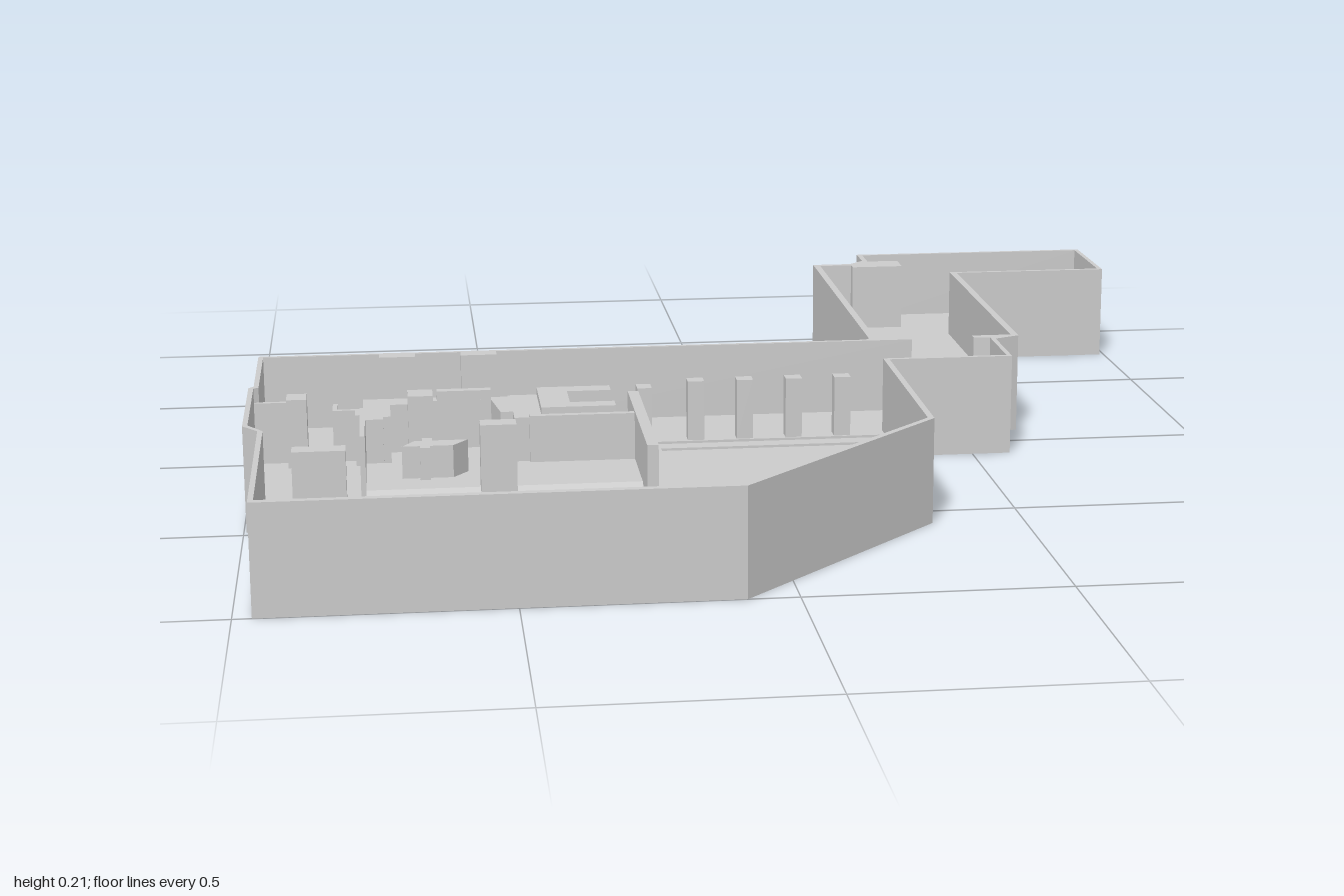
import * as THREE from 'three';

const material = new THREE.MeshStandardMaterial({ color: 0xcccccc, flatShading: true, side: THREE.DoubleSide });
const WALL_TOP = 0.21, YARD = 0.045, PATH = 0.05, INDOOR = 0.055;

// Extrudes an [x, z] plan upward from y0 to y1, with an optional opening.
function plan(name, points, y0, y1, opening) {
  const flip = pts => pts.map(([x, z]) => new THREE.Vector2(x, -z));
  const shape = new THREE.Shape(flip(points));
  if (opening) shape.holes.push(new THREE.Path(flip(opening)));
  const geometry = new THREE.ExtrudeGeometry(shape, { depth: y1 - y0, bevelEnabled: false });
  geometry.rotateX(-Math.PI / 2).translate(0, y0, 0);
  const mesh = new THREE.Mesh(geometry, material);
  mesh.name = name;
  return mesh;
}

// Upright block given by its plan limits.
function block(name, x0, x1, z0, z1, y0, y1) {
  const mesh = new THREE.Mesh(new THREE.BoxGeometry(x1 - x0, y1 - y0, z1 - z0), material);
  mesh.position.set((x0 + x1) / 2, (y0 + y1) / 2, (z0 + z1) / 2);
  mesh.name = name;
  return mesh;
}

export function createModel() {
  const model = new THREE.Group();
  model.name = 'walledCompound';

  const outer = [
    [-0.985, -0.09], [0.30, -0.09], [0.31, -0.10], [0.31, -0.89], [0.40, -0.89], [0.435, -0.925],
    [0.435, -1], [0.99, -1], [0.99, -0.755], [0.635, -0.755], [0.635, -0.09], [0.58, -0.065],
    [0.58, 0.095], [0.32, 0.095], [0.32, 0.58], [-0.095, 1], [-0.965, 1], [-0.965, 0.52],
    [-0.995, 0.48], [-0.995, 0.18], [-0.985, 0.17],
  ];
  // Inside face of the walls, with doorway stubs and two wall piers
  const inner = [
    [-0.975, -0.08], [-0.735, -0.08], [-0.735, -0.05], [-0.66, -0.05], [-0.66, -0.08],
    [-0.565, -0.08], [-0.565, -0.05], [-0.49, -0.05], [-0.49, -0.08], [0.40, -0.08], [0.40, -0.10],
    [0.325, -0.10], [0.325, -0.875], [0.40, -0.875], [0.40, -0.85], [0.52, -0.85], [0.52, -0.915],
    [0.447, -0.915], [0.447, -0.99], [0.98, -0.99], [0.98, -0.765], [0.62, -0.765], [0.62, -0.10],
    [0.535, -0.10], [0.535, -0.08], [0.57, -0.075], [0.57, 0.085], [0.308, 0.085], [0.308, 0.575],
    [-0.1, 0.985], [-0.955, 0.985], [-0.955, 0.52], [-0.985, 0.475], [-0.985, 0.185], [-0.975, 0.18],
  ];
  model.add(plan('groundSlab', outer, 0, YARD));
  model.add(plan('perimeterWall', outer, YARD, WALL_TOP, inner));

  // Stepped floors: a path wraps round the higher house floor
  model.add(plan('pathFloor', [
    [-0.975, -0.08], [0.57, -0.08], [0.57, 0.085], [0.308, 0.085], [0.308, 0.155], [-0.165, 0.155],
    [-0.165, 0.59], [-0.265, 0.69], [-0.955, 0.69], [-0.955, 0.52], [-0.985, 0.475], [-0.975, 0.18],
  ], YARD, PATH));
  model.add(plan('houseFloor', [
    [-0.975, -0.08], [0.57, -0.08], [0.57, 0.085], [0.308, 0.085], [0.308, 0.12], [-0.205, 0.12],
    [-0.205, 0.545], [-0.955, 0.545], [-0.955, 0.52], [-0.985, 0.475], [-0.975, 0.18],
  ], PATH, INDOOR));
  model.add(block('corridorFloor', 0.325, 0.62, -0.875, -0.10, YARD, 0.06));
  model.add(block('endRoomFloor', 0.447, 0.98, -0.99, -0.765, YARD, 0.059));

  // Raised room floor with a gently sloped front edge
  const profile = new THREE.Shape([[-0.25, 0], [-0.25, 0.01], [-0.445, 0.01], [-0.47, 0]]
    .map(([z, y]) => new THREE.Vector2(z, y)));
  const ramp = new THREE.Mesh(
    new THREE.ExtrudeGeometry(profile, { depth: 0.54, bevelEnabled: false }), material);
  ramp.rotation.y = Math.PI / 2;
  ramp.position.set(-0.77, INDOOR, 0);
  ramp.name = 'roomFloor';
  model.add(ramp);

  // House partitions
  model.add(plan('steppedPartition', [
    [-0.77, 0.085], [-0.57, 0.085], [-0.57, 0.095], [-0.475, 0.095], [-0.475, 0.085], [-0.415, 0.085],
    [-0.415, 0.27], [-0.47, 0.27], [-0.47, 0.22], [-0.495, 0.22], [-0.51, 0.115], [-0.63, 0.115],
    [-0.63, 0.135], [-0.715, 0.135], [-0.715, 0.23], [-0.73, 0.23], [-0.73, 0.25], [-0.77, 0.25],
  ], INDOOR, 0.155));
  model.add(plan('cornerCounter', [
    [-0.415, 0.085], [-0.265, 0.085], [-0.265, 0.125], [-0.355, 0.125], [-0.355, 0.215],
    [-0.265, 0.215], [-0.265, 0.252], [-0.415, 0.252],
  ], INDOOR, 0.17));
  model.add(block('rearLedge', -0.62, -0.51, 0.095, 0.115, INDOOR, 0.175));
  model.add(block('middleWall', -0.44, -0.23, 0.265, 0.28, INDOOR, 0.16));
  model.add(block('sideWallLeft', -0.23, -0.208, 0.12, 0.545, YARD, 0.165));
  model.add(block('sideWallRight', -0.775, -0.765, 0.25, 0.47, INDOOR, 0.18));
  model.add(plan('anglePartition', [
    [-0.83, 0.135], [-0.82, 0.135], [-0.82, 0.18], [-0.775, 0.18], [-0.775, 0.23], [-0.785, 0.23],
    [-0.785, 0.19], [-0.83, 0.19],
  ], INDOOR, 0.16));

  // Crooked low table
  model.add(plan('table', [
    [-0.67, 0.33], [-0.655, 0.33], [-0.655, 0.31], [-0.635, 0.31], [-0.635, 0.33], [-0.565, 0.33],
    [-0.595, 0.37], [-0.64, 0.37], [-0.64, 0.385], [-0.66, 0.385], [-0.66, 0.37], [-0.695, 0.37],
  ], INDOOR, 0.13));

  // Freestanding pillars
  const pillars = [
    [-0.90, -0.80, 0.585, 0.625], [-0.545, -0.475, 0.43, 0.472],
    [-0.68, -0.63, 0.175, 0.23], [-0.92, -0.88, 0.18, 0.23],
  ];
  for (const p of pillars) model.add(block('pillar', ...p, YARD, 0.195));
  model.add(block('pillarBase', -0.935, -0.76, 0.575, 0.655, YARD, 0.053));
  model.add(block('wallSpur', -0.985, -0.92, 0.18, 0.19, INDOOR, 0.18));

  // Row of colonnade posts, and the shorter one beside the house
  for (let i = 0; i < 4; i++) {
    const x = -0.105 + i * 0.102;
    model.add(block('colonnadePost', x, x + 0.034, 0.083, 0.115, INDOOR, 0.18));
  }
  model.add(block('endPost', -0.21, -0.18, 0.083, 0.12, INDOOR, 0.17));

  return model;
}
